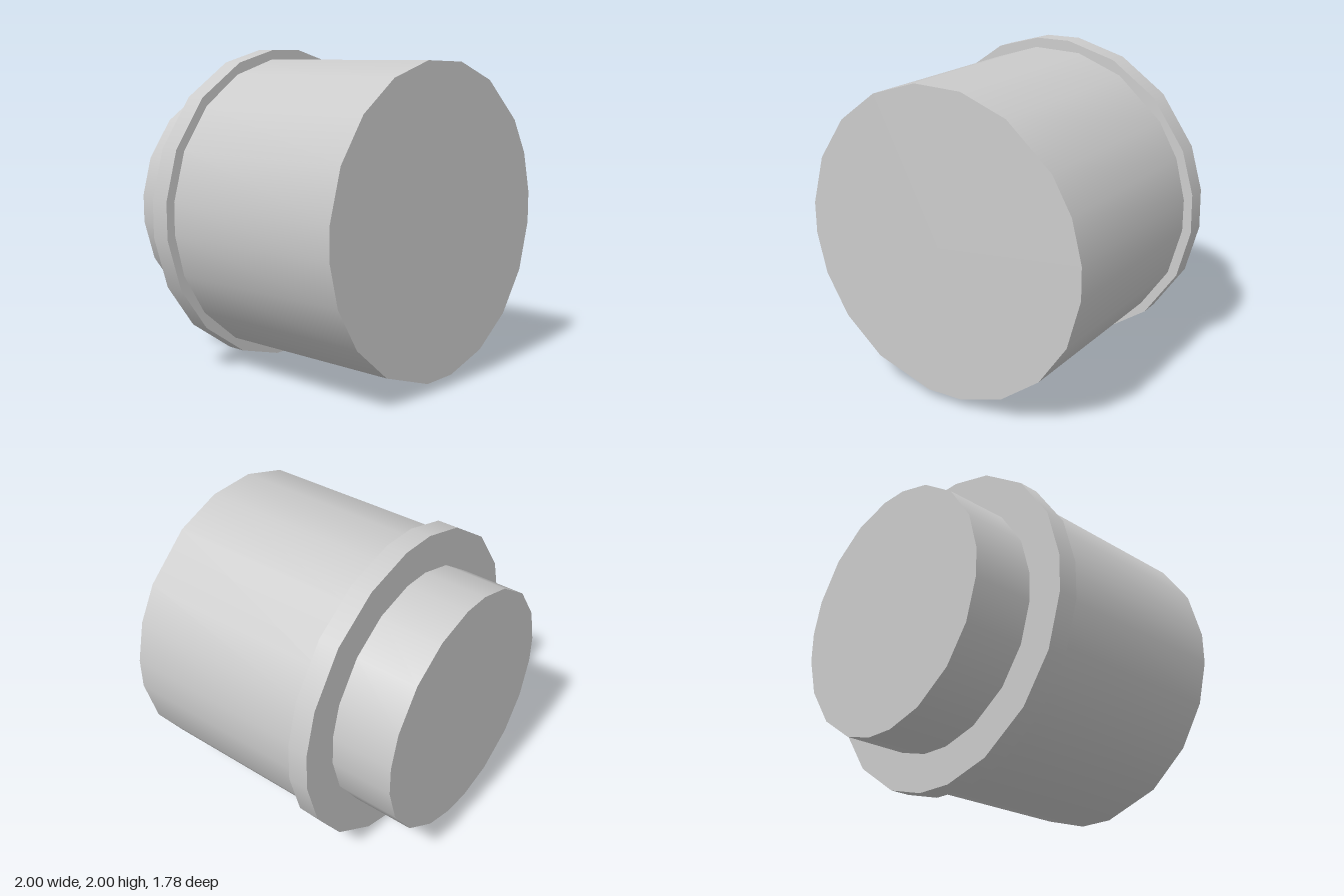
import * as THREE from 'three';

// Slightly uneven corner angles (degrees) of the 20-sided outlines
const bodyAngles = [6, 22, 37, 60, 79, 98, 117, 136, 155, 174, 186, 202, 220, 240, 264, 278, 297, 316, 335, 354];
const rimAngles = [8, 24, 45, 65, 84, 97, 114, 135, 156, 174, 187, 206, 225, 246, 264, 278, 294, 315, 336, 354];

// Capped drum along z, with its corners moved to the given angles
function drum(name, frontRadius, backRadius, zFront, zBack, angles) {
  const n = angles.length;
  const step = (Math.PI * 2) / n;
  const geometry = new THREE.CylinderGeometry(frontRadius, backRadius, zFront - zBack, n, 1, false, step / 2);
  geometry.rotateX(Math.PI / 2);
  const { position, normal } = geometry.attributes;
  for (let i = 0; i < position.count; i++) {
    const x = position.getX(i), y = position.getY(i);
    const radius = Math.hypot(x, y);
    if (radius < 0.01) continue;
    const turn = (Math.atan2(y, x) + Math.PI * 2) % (Math.PI * 2);
    const a = THREE.MathUtils.degToRad(angles[Math.floor(turn / step) % n]);
    position.setXY(i, radius * Math.cos(a), radius * Math.sin(a));
    if (Math.abs(normal.getZ(i)) < 0.5) normal.setXYZ(i, Math.cos(a), Math.sin(a), 0);
  }
  const mesh = new THREE.Mesh(geometry, new THREE.MeshStandardMaterial({ color: 0xcccccc }));
  mesh.name = name;
  mesh.position.set(0, 1, (zFront + zBack) / 2);
  return mesh;
}

export function createModel() {
  const group = new THREE.Group();
  group.name = 'steppedPlug';
  group.add(
    drum('mainBody', 0.94, 0.945, 0.89, -0.36, bodyAngles),
    drum('flange', 1.003, 1.003, -0.36, -0.49, rimAngles),
    drum('rearBoss', 0.772, 0.772, -0.49, -0.89, rimAngles),
  );
  return group;
}
